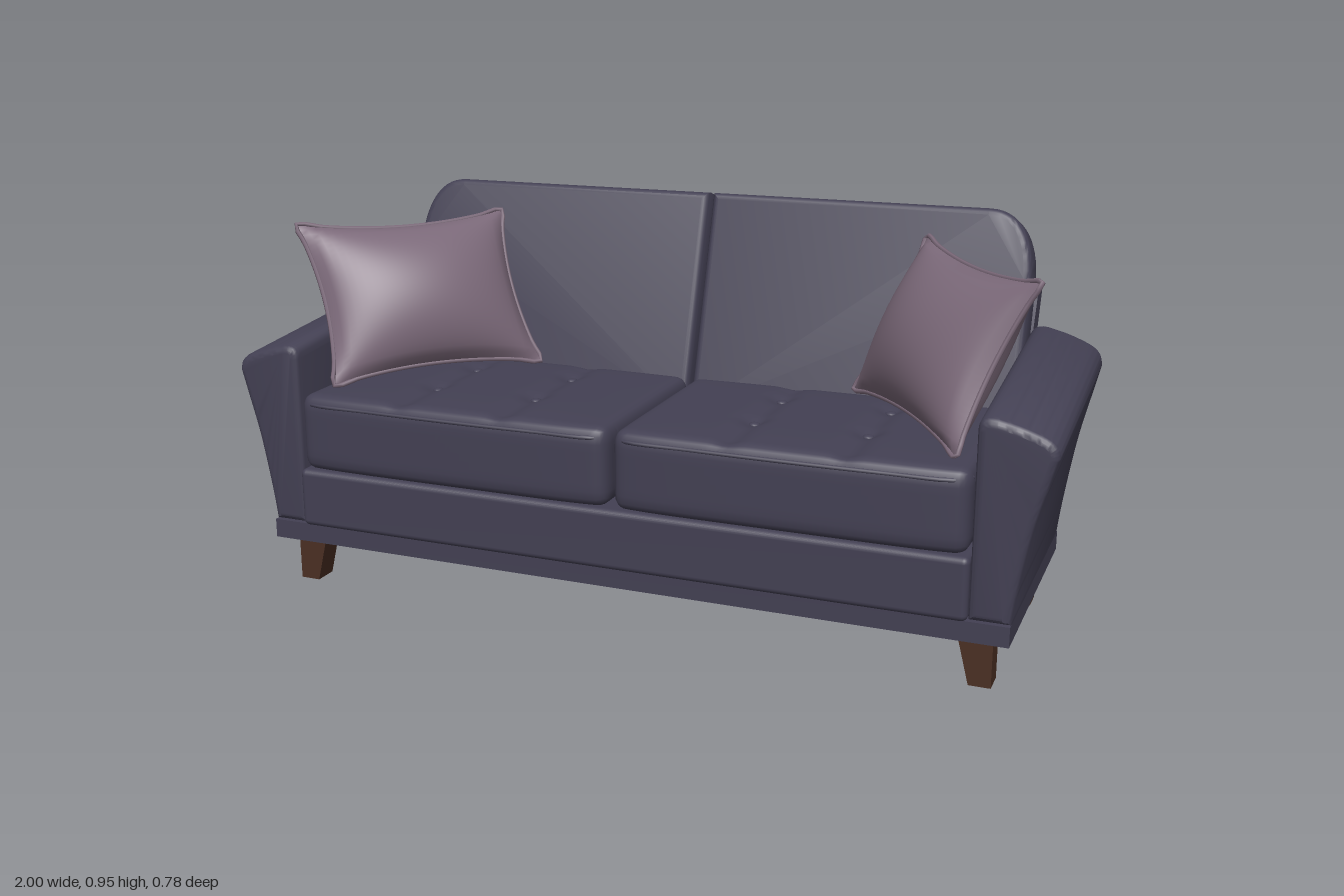
import * as THREE from 'three';
import { mergeVertices, mergeGeometries, toCreasedNormals } from 'three/addons/utils/BufferGeometryUtils.js';
import { RoundedBoxGeometry } from 'three/addons/geometries/RoundedBoxGeometry.js';

const V2 = (x, y) => new THREE.Vector2(x, y);
const V3 = (x, y, z) => new THREE.Vector3(x, y, z);

// Move every vertex of a geometry by a rule
function deform(geo, rule) {
  const p = geo.attributes.position, v = V3(0, 0, 0);
  for (let i = 0; i < p.count; i++) {
    rule(v.fromBufferAttribute(p, i));
    p.setXYZ(i, v.x, v.y, v.z);
  }
  geo.computeVertexNormals();
  return geo;
}

// Finely divided box with rounded edges, welded for smooth normals
function softBox(w, h, d, r, nx, ny, nz, rule) {
  let g = new THREE.BoxGeometry(w, h, d, nx, ny, nz);
  g.deleteAttribute('uv');
  g.deleteAttribute('normal');
  g = mergeVertices(g);
  const lim = V3(w / 2 - r, h / 2 - r, d / 2 - r), low = lim.clone().negate();
  return deform(g, v => {
    const core = v.clone().clamp(low, lim);
    const off = v.clone().sub(core);
    if (off.lengthSq() > 0) v.copy(core).addScaledVector(off.normalize(), r);
    rule(v);
  });
}

function extrude(shape, depth, bevel, curveSegments = 10) {
  return new THREE.ExtrudeGeometry(shape, {
    depth: depth - 2 * bevel, bevelEnabled: bevel > 0, bevelThickness: bevel,
    bevelSize: bevel, bevelOffset: -bevel, bevelSegments: 4, curveSegments,
  }).translate(0, 0, bevel);
}

export function createModel() {
  const fabric = new THREE.MeshStandardMaterial({ color: 0x434053 });
  fabric.name = 'slate fabric';
  const mauve = new THREE.MeshStandardMaterial({ color: 0x7b6979 });
  mauve.name = 'mauve fabric';
  const wood = new THREE.MeshStandardMaterial({ color: 0x4a2f23 });
  wood.name = 'dark wood';

  const model = new THREE.Group();
  model.name = 'sofa';
  const add = (name, geo, mat, x = 0, y = 0, z = 0) => {
    const m = new THREE.Mesh(geo, mat);
    m.name = name;
    m.position.set(x, y, z);
    model.add(m);
    return m;
  };

  // Plinth and seat body
  add('plinth', new THREE.BoxGeometry(1.84, 0.047, 0.64), fabric, 0, 0.1415, 0.05);
  add('seatBody', new RoundedBoxGeometry(1.66, 0.146, 0.635, 3, 0.015), fabric, 0, 0.238, 0.0675);

  // Back frame: upright below, leaning back above
  const backProfile = new THREE.Shape([
    V2(-0.27, 0.165), V2(-0.17, 0.165), V2(-0.17, 0.44), V2(-0.33, 0.755),
    V2(-0.39, 0.755), V2(-0.288, 0.52), V2(-0.275, 0.475), V2(-0.27, 0.43),
  ]);
  const backGeo = extrude(backProfile, 1.66, 0).translate(0, 0, -0.83).rotateY(-Math.PI / 2);
  add('backFrame', toCreasedNormals(backGeo, 0.5), fabric);

  for (const s of [1, -1]) {
    const side = s > 0 ? 'left' : 'right';

    // Flared arm, rising towards the back
    const P = (x, y) => V2(s * x, y);
    const arm = new THREE.Shape();
    arm.moveTo(s * 0.828, 0.165);
    arm.lineTo(s * 0.92, 0.165);
    arm.splineThru([P(0.932, 0.25), P(0.956, 0.38), P(0.985, 0.49), P(1.0, 0.545)]);
    arm.splineThru([P(0.994, 0.566), P(0.972, 0.584), P(0.92, 0.603), P(0.87, 0.615)]);
    arm.quadraticCurveTo(s * 0.828, 0.622, s * 0.828, 0.585);
    arm.closePath();
    const armGeo = deform(extrude(arm, 0.64, 0.018, 6).translate(0, 0, -0.27), v => {
      v.y += 0.065 * (v.y - 0.165) / 0.45 * (0.37 - v.z) / 0.64;
    });
    add(side + 'Arm', toCreasedNormals(armGeo, 0.6), fabric);

    // Seat cushion with soft channels and dimples at the buttons
    const cx = s * 0.415, buttons = [];
    for (const bx of [0.28, 0.55]) for (const bz of [-0.03, 0.175]) buttons.push([s * bx, bz]);
    const sink = (x, z) => {
      let d = 0;
      for (const bx of [0.28, 0.55]) d += 0.011 * Math.exp(-(((Math.abs(x) - bx) / 0.026) ** 2));
      for (const [bx, bz] of buttons) d += 0.009 * Math.exp(-((x - bx) ** 2 + (z - bz) ** 2) / 0.0009);
      return d;
    };
    const seat = softBox(0.818, 0.19, 0.54, 0.03, 64, 10, 40, v => {
      const top = THREE.MathUtils.smoothstep(v.y, 0.02, 0.09);
      const rim = Math.max(0, 1 - (v.x / 0.41) ** 4) * Math.max(0, 1 - (v.z / 0.27) ** 4);
      v.y += top * (0.006 * rim - sink(v.x + cx, v.z + 0.118) * Math.min(1, rim * 2));
      if (v.z > 0.2) v.z -= 0.012 * (v.x / 0.41) ** 6;
    });
    add(side + 'SeatCushion', seat, fabric, cx, 0.405, 0.118);
    for (const [bx, bz] of buttons) {
      const b = new THREE.SphereGeometry(0.014, 14, 8).scale(1, 0.5, 1);
      add(side + 'SeatButton', b, fabric, bx, 0.508 - sink(bx, bz), bz);
    }
    // Piping along the upper front edge of the seat cushion
    const pipe = new THREE.CatmullRomCurve3([V3(s * 0.012, 0.478, 0.34), V3(s * 0.03, 0.478, 0.374),
      V3(s * 0.2, 0.478, 0.384), V3(s * 0.63, 0.478, 0.384), V3(s * 0.795, 0.478, 0.374), V3(s * 0.82, 0.478, 0.34)]);
    add(side + 'SeatPiping', new THREE.TubeGeometry(pipe, 32, 0.005, 6), fabric);

    // Leaning back cushion with a rounded outer top corner
    const back = new THREE.Shape();
    back.moveTo(s * 0.005, -0.1);
    back.lineTo(s * 0.825, -0.1);
    back.lineTo(s * 0.825, 0.31);
    back.bezierCurveTo(s * 0.822, 0.40, s * 0.79, 0.474, s * 0.71, 0.474);
    back.lineTo(s * 0.005, 0.474);
    back.closePath();
    const lean = extrude(back, 0.1, 0.018, 14).translate(0, 0, -0.1).rotateX(-0.3);
    add(side + 'BackCushion', toCreasedNormals(lean, 0.6), fabric, 0, 0.5, -0.14);

    // Tapered legs, straight on the outside
    for (const z of [0.3, -0.2]) {
      const leg = deform(new THREE.BoxGeometry(0.08, 0.12, 0.06), v => {
        if (v.y < 0 && v.x * s < 0) v.x += s * 0.03;
      });
      add((z > 0 ? 'front' : 'back') + 'Leg', leg, wood, s * 0.84, 0.06, z);
    }
  }

  // Throw pillows: centre, half width vector, half height vector
  function pillow(name, centre, u, v) {
    const n = u.clone().cross(v).normalize();
    const place = (a, b, t) => centre.clone()
      .addScaledVector(u, a * (1 - 0.1 * (1 - b * b)))
      .addScaledVector(v, b * (1 - 0.13 * (1 - a * a)))
      .addScaledVector(n, t);
    const halves = [1, -1].map(f => {
      const g = new THREE.PlaneGeometry(2, 2, 28, 28);
      if (f < 0) g.rotateY(Math.PI);
      return deform(g, p => {
        const puff = Math.max(0, (1 - p.x * p.x) * (1 - p.y * p.y)) ** 0.6;
        p.copy(place(p.x, p.y, f * 0.1 * puff));
      });
    });
    add(name, mergeGeometries(halves), mauve);
    // Piped seam around the edge
    const rim = [];
    const corners = [[-1, -1], [1, -1], [1, 1], [-1, 1]];
    corners.forEach(([a, b], i) => {
      const [c, d] = corners[(i + 1) % 4];
      for (let k = 0; k < 8; k++) rim.push(place(a + (c - a) * k / 8, b + (d - b) * k / 8, 0));
    });
    const seam = new THREE.CatmullRomCurve3(rim, true);
    add(name + 'Seam', new THREE.TubeGeometry(seam, 96, 0.006, 6, true), mauve);
  }
  pillow('rightPillow', V3(-0.675, 0.695, 0.03), V3(0.18, 0, -0.21), V3(-0.085, 0.185, -0.062));
  pillow('leftPillow', V3(0.675, 0.695, 0.043), V3(0.172, -0.005, 0.217), V3(0.072, 0.185, -0.047));

  return model;
}
